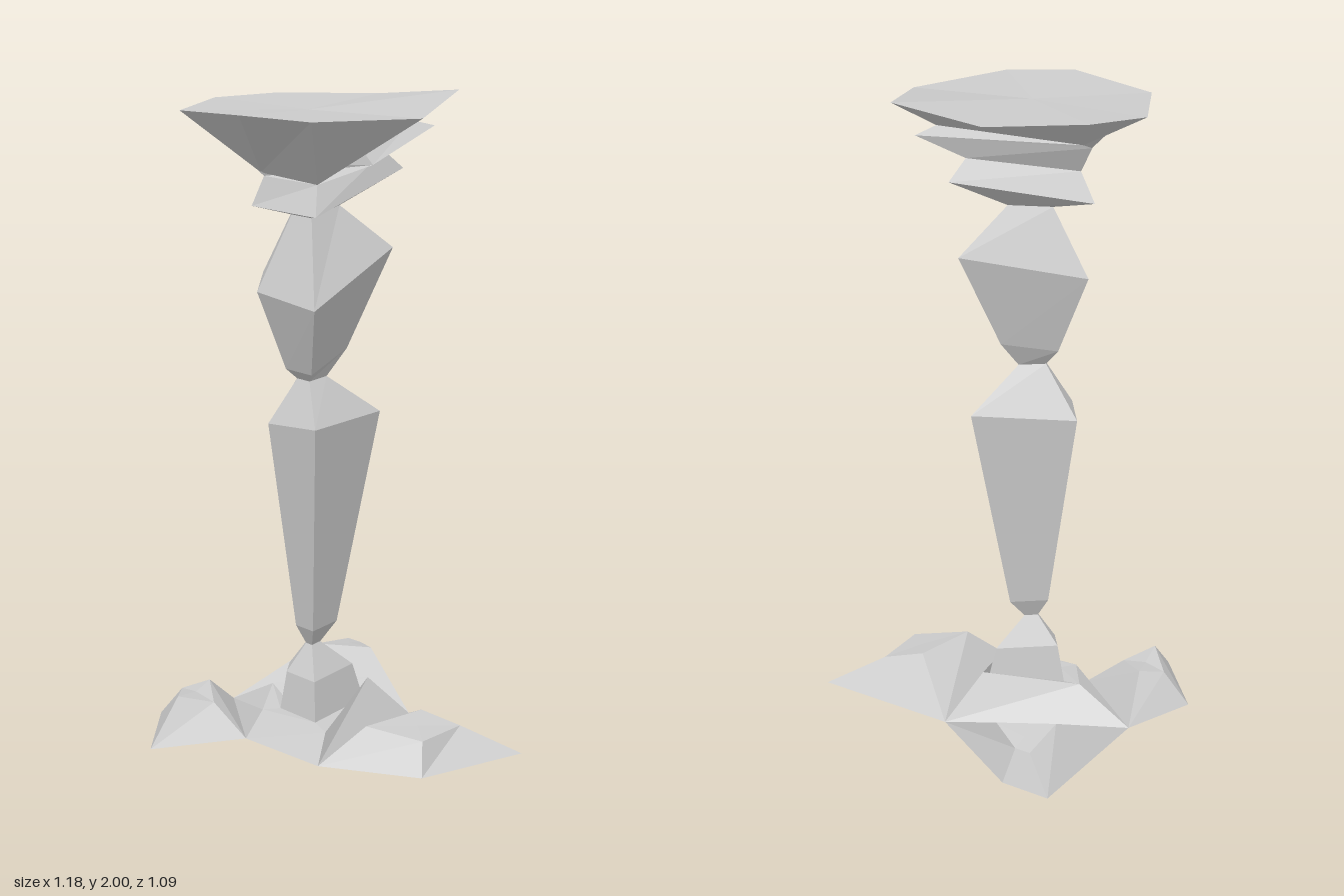
import * as THREE from 'three';

const grey = (side = THREE.FrontSide) =>
  new THREE.MeshStandardMaterial({ color: 0xcccccc, flatShading: true, side });

// Skin a list of closed loops (counter-clockwise from above, lowest or outermost first);
// an optional apex closes the last loop.
function loft(name, loops, { apex, side } = {}) {
  const pos = [];
  const tri = (a, b, c) => pos.push(...a, ...b, ...c);
  const n = loops[0].length;
  for (let k = 0; k + 1 < loops.length; k++) {
    for (let i = 0; i < n; i++) {
      const j = (i + 1) % n, a = loops[k], b = loops[k + 1];
      tri(a[i], a[j], b[j]);
      tri(a[i], b[j], b[i]);
    }
  }
  if (apex) {
    const top = loops[loops.length - 1];
    for (let i = 0; i < n; i++) tri(top[i], top[(i + 1) % n], apex);
  }
  const geo = new THREE.BufferGeometry();
  geo.setAttribute('position', new THREE.Float32BufferAttribute(pos, 3));
  geo.computeVertexNormals();
  const mesh = new THREE.Mesh(geo, grey(side));
  mesh.name = name;
  return mesh;
}

// Irregular four-sided section of the stem, as offsets from its axis
const SECTION = [[0.093, 0.17], [0.157, -0.172], [-0.152, -0.055], [-0.107, 0.075]];
const ring = (y, s, z = 0.13, lift = [0, 0, 0, 0]) =>
  SECTION.map(([dx, dz], i) => [-0.083 + dx * s, y + lift[i], z + dz * s]);

// Faceted foot: four ground corners and four crest corners
function foot(name, ground, crest) {
  const mid = crest.reduce((m, p) => m.map((v, i) => v + p[i] / 4), [0, 0, 0]);
  return loft(name, [ground, crest], { apex: mid, side: THREE.DoubleSide });
}

export function createModel() {
  const group = new THREE.Group();

  // Base: hollow central mound running up into the knob
  const frontRight = [0.06, 0, 0.4], backRight = [0.14, 0, -0.13];
  const backLeft = [-0.435, 0, -0.03], frontLeft = [-0.24, 0, 0.28];
  group.add(loft('moundAndKnob', [
    [frontRight, backRight, backLeft, frontLeft],
    [[0.045, 0.075, 0.31], [0.04, 0.14, -0.03], [-0.26, 0.1, 0.04], [-0.21, 0.08, 0.22]],
    ring(0.08, 0.76),
    ring(0.2, 0.6),
    ring(0.29, 0.13),
  ], { side: THREE.DoubleSide }));

  // Three feet, each sloping back down to one edge of the mound
  group.add(foot('leftFoot',
    [frontRight, [0.385, 0, 0.365], [0.59, 0, 0.055], backRight],
    [[0.18, 0.115, 0.31], [0.36, 0.09, 0.3], [0.41, 0.085, 0.115], [0.28, 0.115, 0.11]]));
  group.add(foot('backFoot',
    [backRight, [-0.135, 0, -0.48], [-0.29, 0, -0.545], backLeft],
    [[-0.08, 0.125, -0.335], [-0.165, 0.1, -0.44], [-0.215, 0.1, -0.46], [-0.26, 0.125, -0.3]]));
  group.add(foot('rightFoot',
    [backLeft, [-0.59, 0, 0.18], [-0.47, 0, 0.48], frontLeft],
    [[-0.435, 0.12, 0.14], [-0.505, 0.1, 0.195], [-0.45, 0.125, 0.33], [-0.36, 0.095, 0.26]]));

  // Stem: long tapered shaft and upper baluster
  group.add(loft('shaft', [
    ring(0.29, 0.13),
    ring(0.35, 0.37),
    ring(1.01, 1, 0.13, [0.01, 0, -0.03, -0.01]),
    ring(1.14, 0.26, 0.145),
  ]));
  group.add(loft('baluster', [
    ring(1.14, 0.26, 0.145),
    ring(1.17, 0.54, 0.14, [0, 0.05, 0.02, 0]),
    ring(1.4, 1.2, 0.14, [-0.01, 0.12, 0.04, 0.01]),
    ring(1.64, 0.42, 0.13, [0, 0.02, 0.01, 0]),
  ]));

  // Capital: two tilted sharp-edged collars
  const neck = [[0.015, 1.755, 0.29], [0.09, 1.82, -0.03], [-0.235, 1.77, 0.09], [-0.19, 1.76, 0.22]];
  group.add(loft('lowerCollar', [
    ring(1.64, 0.42, 0.13, [0, 0.02, 0.01, 0]),
    ring(1.67, 1.33, 0.133, [0, 0.09, 0.01, 0]),
    neck,
  ]));
  const seat = [[0.14, 1.865, 0.26], [0.18, 1.915, -0.03], [-0.25, 1.86, 0.05], [-0.2, 1.77, 0.22]];
  group.add(loft('upperCollar', [
    neck,
    [[0.18, 1.82, 0.265], [0.23, 1.895, -0.09], [-0.275, 1.85, 0.06], [-0.22, 1.79, 0.23]],
    seat,
  ]));

  // Tabletop: eight-sided flared bowl that reaches lowest at the front
  const rim = [
    [0.105, 1.97, 0.53], [0.33, 1.96, 0.255], [0.29, 2, -0.135], [-0.01, 1.965, -0.23],
    [-0.305, 1.965, -0.125], [-0.445, 1.96, 0.03], [-0.395, 1.96, 0.36], [-0.115, 1.98, 0.54],
  ];
  const underside = [neck[0], seat[0], seat[1], seat[1], seat[2], seat[2], seat[3], seat[3]];
  group.add(loft('tabletop', [underside, rim], { apex: [-0.06, 1.96, 0.19] }));

  return group;
}
